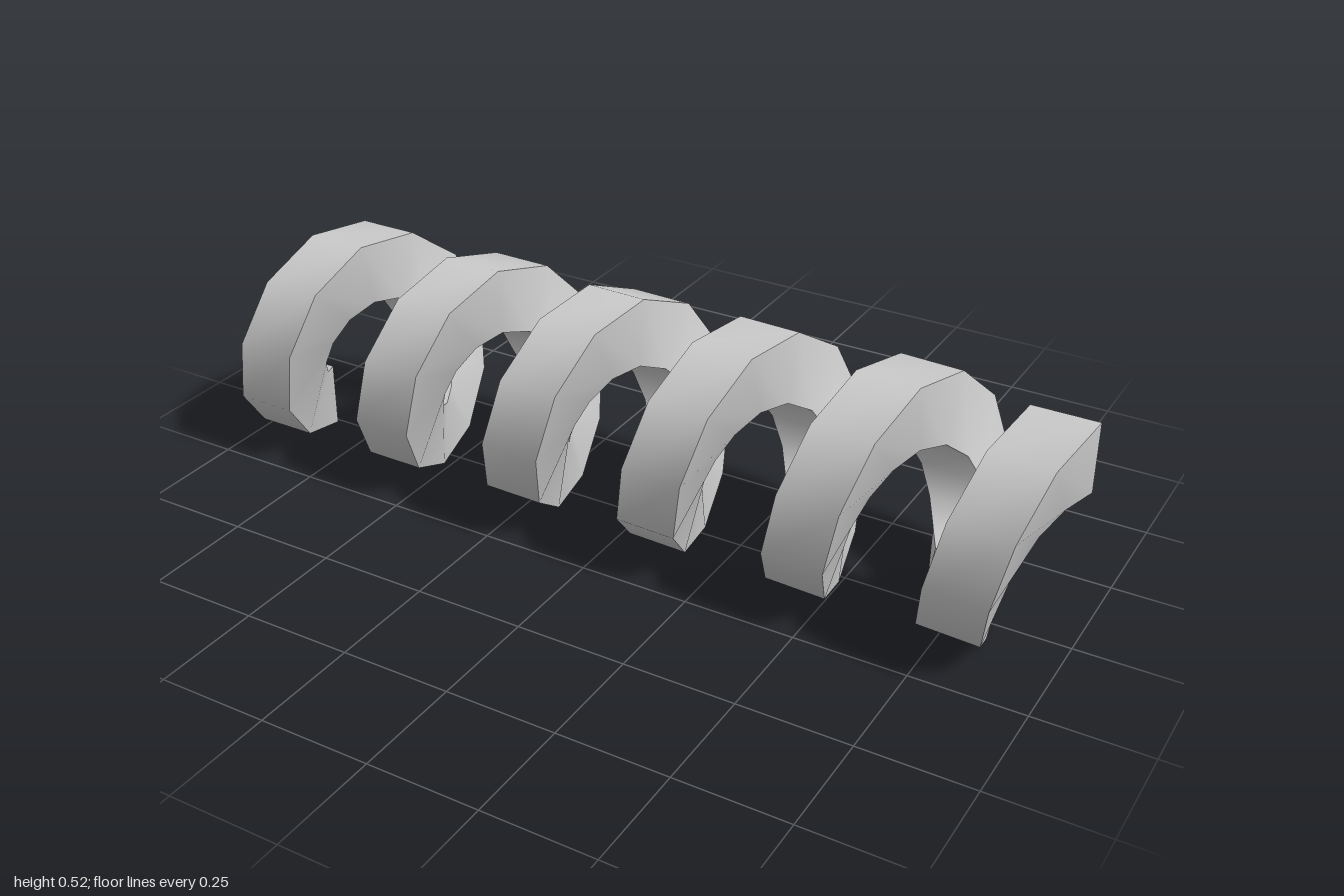
import * as THREE from 'three';
import { toCreasedNormals } from 'three/addons/utils/BufferGeometryUtils.js';

const STEPS = 59;        // straight pieces along the coil
const TURNS = 5.5;
const OUTER = 0.262;
const INNER = 0.109;
const HALF_WIDTH = 0.07; // half the bar width along the coil axis
const AXIS_Y = 0.262;
const AXIS_Z = 0.003;

// Four corners of the bar at step i, counter-clockwise seen from ahead
function section(i) {
  const t = i / STEPS;
  const angle = t * TURNS * Math.PI * 2;
  const x = THREE.MathUtils.lerp(-1 + HALF_WIDTH, 1 - HALF_WIDTH, t);
  // the bar yaws slightly as the coil advances, with square ends
  const yaw = i === STEPS ? 0 : 0.07 * t;
  const corner = (r, side) => [
    x + side * HALF_WIDTH * Math.cos(yaw),
    AXIS_Y - r * Math.cos(angle),
    AXIS_Z + r * Math.sin(angle) + side * HALF_WIDTH * Math.sin(yaw) + (i === 0 || i === STEPS ? 0.006 : 0),
  ];
  return [corner(INNER, -1), corner(OUTER, -1), corner(OUTER, 1), corner(INNER, 1)];
}

function coilGeometry() {
  const positions = [];
  const quad = (a, b, c, d) => positions.push(...a, ...b, ...c, ...a, ...c, ...d);

  // four faces of the bar
  for (let i = 0; i < STEPS; i++) {
    const p = section(i);
    const q = section(i + 1);
    for (let k = 0; k < 4; k++) {
      const n = (k + 1) % 4;
      quad(p[k], p[n], q[n], q[k]);
    }
  }

  // end caps
  const [a, b, c, d] = section(0);
  quad(a, d, c, b);
  quad(...section(STEPS));

  const geometry = new THREE.BufferGeometry();
  geometry.setAttribute('position', new THREE.Float32BufferAttribute(positions, 3));
  return toCreasedNormals(geometry, 0.75);
}

export function createModel() {
  const model = new THREE.Group();
  model.name = 'coilSpring';
  const coil = new THREE.Mesh(coilGeometry(), new THREE.MeshStandardMaterial({ color: 0xcccccc }));
  coil.name = 'coil';
  model.add(coil);
  return model;
}
